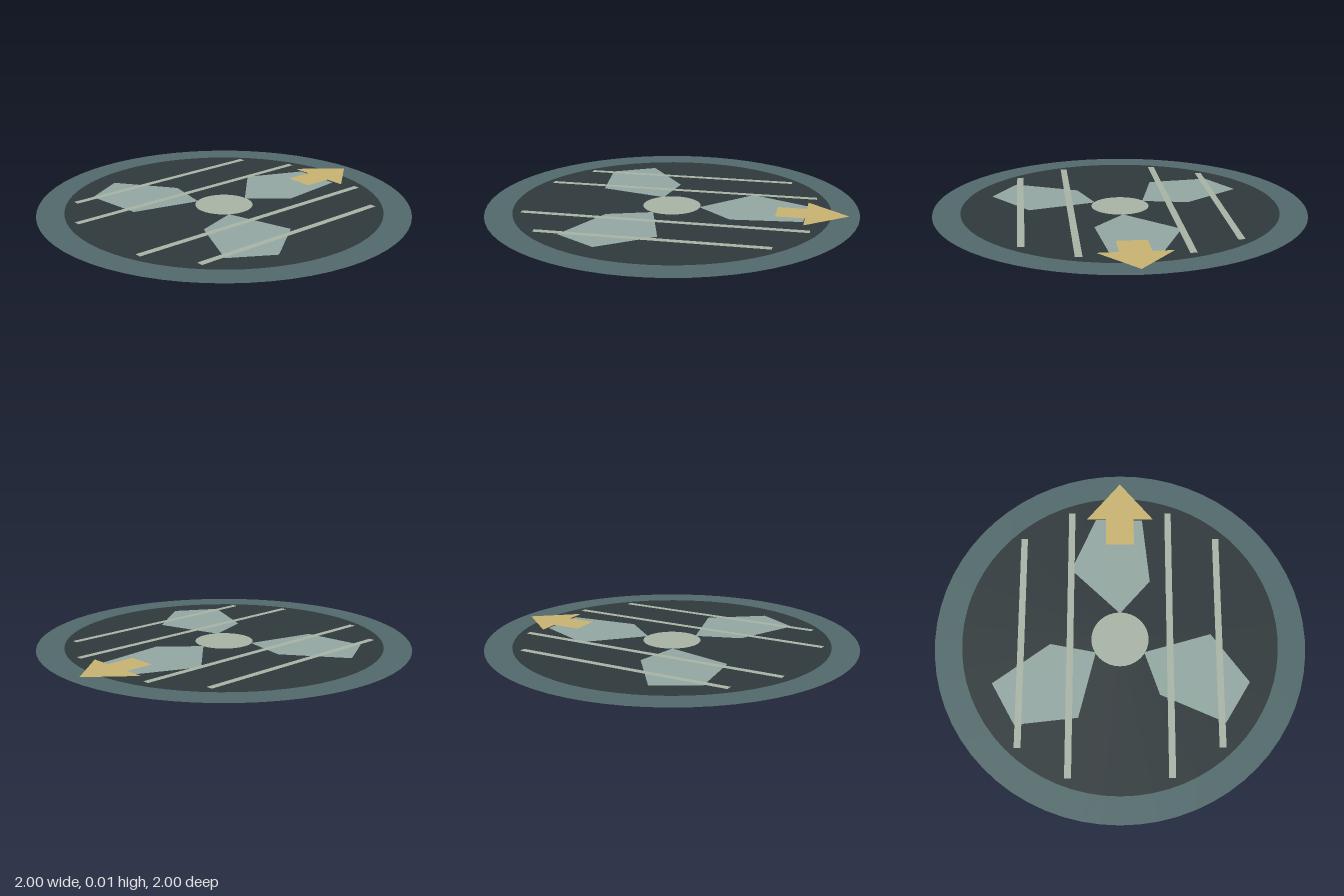
import * as THREE from 'three';

const colored = (color) => new THREE.MeshStandardMaterial({ color, side: THREE.DoubleSide });

const materials = {
  rim: colored(0x526a6c),
  plate: colored(0x30393c),
  blade: colored(0x94a9a3),
  pale: colored(0xaab6a8),
  arrow: colored(0xcbb573),
};

// Flat sheet lying face up at height y
function sheet(name, geometry, material, y, parent) {
  geometry.rotateX(-Math.PI / 2);
  const mesh = new THREE.Mesh(geometry, material);
  mesh.name = name;
  mesh.position.y = y;
  parent.add(mesh);
  return mesh;
}

// Outline points are [x, -z], counter-clockwise from above
const outline = (points) =>
  new THREE.ShapeGeometry(new THREE.Shape(points.map(([x, y]) => new THREE.Vector2(x, y))));

export function createModel() {
  const group = new THREE.Group();
  group.name = 'fanDisc';

  // Outer rim and dark backing plate
  sheet('rim', new THREE.RingGeometry(0.853, 1, 64), materials.rim, 0, group);
  sheet('plate', new THREE.CircleGeometry(0.853, 64), materials.plate, 0, group);

  // Three angular blades around the hub
  const bladePoints = [[0.15, 0], [0.34, -0.165], [0.715, -0.125], [0.72, 0.135], [0.41, 0.27]];
  for (let i = 0; i < 3; i++) {
    const blade = sheet(`blade${i + 1}`, outline(bladePoints), materials.blade, 0.002, group);
    blade.rotation.y = (i * Math.PI * 2) / 3;
  }

  // Central hub
  sheet('hub', new THREE.CircleGeometry(0.155, 32), materials.pale, 0.003, group);

  // Guard bars, mirrored front to back
  for (const side of [-1, 1]) {
    for (const [z, length] of [[0.27, 1.52], [0.535, 1.2]]) {
      const bar = sheet('guardBar', new THREE.PlaneGeometry(length, 0.036), materials.pale, 0.004, group);
      bar.position.z = side * z;
    }
  }

  // Direction arrow
  const arrowPoints = [
    [0.565, -0.078], [0.72, -0.078], [0.72, -0.187], [0.945, 0],
    [0.72, 0.187], [0.72, 0.078], [0.565, 0.078],
  ];
  sheet('directionArrow', outline(arrowPoints), materials.arrow, 0.006, group);

  return group;
}
